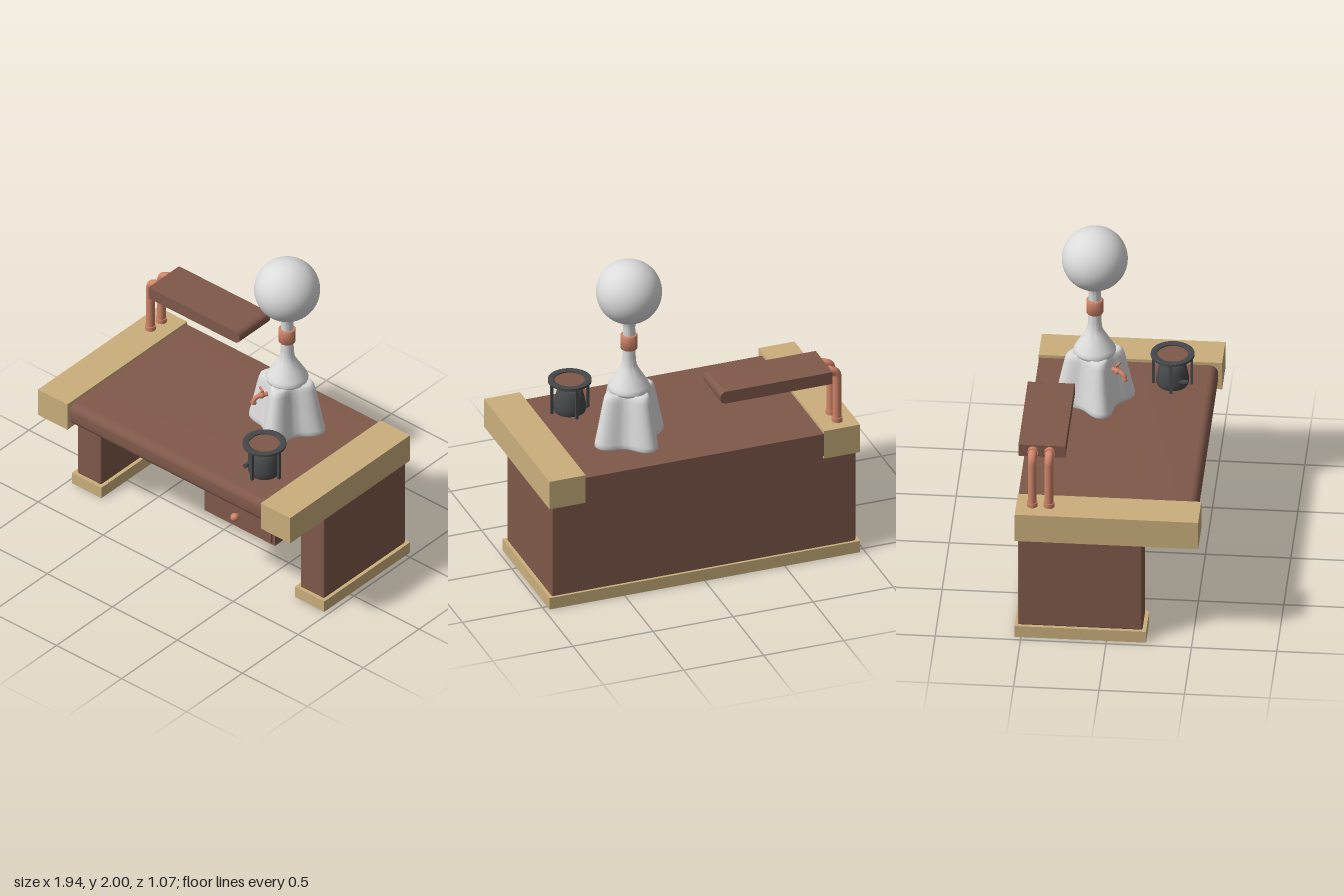
import * as THREE from 'three';
import { mergeVertices, toCreasedNormals } from 'three/addons/utils/BufferGeometryUtils.js';
import { RoundedBoxGeometry } from 'three/addons/geometries/RoundedBoxGeometry.js';

const material = (name, color) => {
  const m = new THREE.MeshStandardMaterial({ color });
  m.name = name;
  return m;
};

export function createModel() {
  const wood = material('brown wood', 0x80594b);
  const trim = material('tan trim', 0xcbaf7c);
  const copper = material('copper', 0xd08468);
  const glass = material('pale glass', 0xdcdcdc);
  const iron = material('dark iron', 0x454748);

  const model = new THREE.Group();
  model.name = 'laboratoryDesk';

  const add = (name, geo, mat, x = 0, y = 0, z = 0, parent = model) => {
    const mesh = new THREE.Mesh(geo, mat);
    mesh.name = name;
    mesh.position.set(x, y, z);
    parent.add(mesh);
    return mesh;
  };
  const group = (name, x, y, z) => {
    const g = new THREE.Group();
    g.name = name;
    g.position.set(x, y, z);
    model.add(g);
    return g;
  };
  // Box given by its minimum and maximum corners, with optional soft edges
  const box = (name, mat, [x0, y0, z0], [x1, y1, z1], r = 0) => {
    const s = [x1 - x0, y1 - y0, z1 - z0];
    const geo = r ? new RoundedBoxGeometry(...s, 3, r) : new THREE.BoxGeometry(...s);
    return add(name, geo, mat, (x0 + x1) / 2, (y0 + y1) / 2, (z0 + z1) / 2);
  };
  const lathe = (pts, seg = 40) =>
    toCreasedNormals(new THREE.LatheGeometry(pts.map(p => new THREE.Vector2(...p)), seg), 0.7);
  const cyl = (r, h, seg = 24) => new THREE.CylinderGeometry(r, r, h, seg);

  // Slab from x0 to x1 whose +x end is rounded, centred on y and z
  const slab = (x0, x1, height, width, r) => {
    const h = height / 2;
    const s = new THREE.Shape();
    s.moveTo(x0, -h);
    s.lineTo(x1 - r, -h);
    s.absarc(x1 - r, -h + r, r, -Math.PI / 2, 0, false);
    s.absarc(x1 - r, h - r, r, 0, Math.PI / 2, false);
    s.lineTo(x0, h);
    const geo = new THREE.ExtrudeGeometry(s, { depth: width, bevelEnabled: false, curveSegments: 8 });
    geo.translate(0, 0, -width / 2);
    return toCreasedNormals(geo, 0.5);
  };

  // Desk body: two sides and a thick back, on a U-shaped plinth
  for (const [side, s] of [['left', 1], ['right', -1]]) {
    const span = (a, b) => (s > 0 ? [a, b] : [-b, -a]);
    const [p0, p1] = span(0.765, 0.95);
    box(side + 'SidePanel', wood, [p0, 0.07, -0.52], [p1, 0.67, 0.21], 0.012);
    const [c0, c1] = span(0.744, 0.97);
    box(side + 'TopCap', trim, [c0, 0.667, -0.537], [c1, 0.85, 0.537]);
    box(side + 'Plinth', trim, [c0, 0, -0.537], [c1, 0.075, 0.232]);
  }
  box('backPlinth', trim, [-0.744, 0, -0.537], [0.744, 0.075, -0.31]);
  box('backPanel', wood, [-0.94, 0.07, -0.52], [0.94, 0.69, -0.335]);

  // Desk top with a rounded front edge
  const top = slab(-0.535, 0.513, 0.147, 1.49, 0.05);
  top.rotateY(-Math.PI / 2);
  add('deskTop', top, wood, 0, 0.7575, 0);

  // Drawer with raised front and round knob
  box('drawerBox', wood, [0.2, 0.467, -0.335], [0.742, 0.69, 0.408]);
  box('drawerFront', wood, [0.222, 0.483, 0.4], [0.722, 0.662, 0.422]);
  const knob = group('drawerKnob', 0.47, 0.57, 0.422);
  add('knobStem', cyl(0.01, 0.03, 16), copper, 0, 0, 0.01, knob).rotation.x = Math.PI / 2;
  add('knobBall', new THREE.SphereGeometry(0.025, 24, 16), copper, 0, 0, 0.03, knob);

  // Raised shelf carried on two bent pipes
  add('shelf', slab(-0.8, -0.1, 0.078, 0.275, 0.036), wood, 0, 1.19, -0.392);
  for (const z of [-0.443, -0.345]) {
    const path = new THREE.CurvePath();
    const v = (x, y) => new THREE.Vector3(x, y, 0);
    path.add(new THREE.LineCurve3(v(-0.862, 0.85), v(-0.862, 1.14)));
    path.add(new THREE.QuadraticBezierCurve3(v(-0.862, 1.14), v(-0.862, 1.19), v(-0.815, 1.19)));
    path.add(new THREE.LineCurve3(v(-0.815, 1.19), v(-0.79, 1.19)));
    add('shelfPipe', new THREE.TubeGeometry(path, 60, 0.026, 20), copper, 0, 0, z);
    add('pipeFoot', cyl(0.032, 0.03), copper, -0.862, 0.862, z);
    add('pipeCollar', cyl(0.031, 0.025), copper, -0.812, 1.19, z).rotation.z = Math.PI / 2;
  }

  // Glass apparatus
  const still = group('glassApparatus', 0.335, 0, -0.175);
  add('globe', new THREE.SphereGeometry(0.193, 48, 32), glass, 0, 1.807, 0, still);
  add('neck', lathe([
    [0, 1.145], [0.105, 1.15], [0.122, 1.165], [0.125, 1.18], [0.115, 1.2], [0.085, 1.25],
    [0.055, 1.3], [0.043, 1.33], [0.039, 1.38], [0.036, 1.57], [0.039, 1.6], [0.05, 1.63],
  ]), glass, 0, 0, 0, still);
  add('neckCollar', lathe([
    [0, 1.432], [0.046, 1.432], [0.05, 1.437], [0.05, 1.52], [0.046, 1.525], [0, 1.525],
  ]), copper, 0, 0, 0, still);

  // Four-lobed base: a turned profile pulled inward between the lobes
  const lobeAngle = -16.4 * Math.PI / 180;
  let base = new THREE.LatheGeometry([
    [0, 0.832], [0.225, 0.832], [0.24, 0.845], [0.237, 0.87], [0.222, 0.93], [0.207, 1.0],
    [0.192, 1.07], [0.178, 1.13], [0.168, 1.158], [0.15, 1.172], [0.12, 1.168], [0.06, 1.15], [0, 1.145],
  ].map(p => new THREE.Vector2(...p)), 96);
  base.deleteAttribute('uv');
  base.deleteAttribute('normal');
  const pos = base.attributes.position;
  for (let i = 0; i < pos.count; i++) {
    const x = pos.getX(i), z = pos.getZ(i);
    const lobe = (1 + Math.cos(4 * (Math.atan2(z, x) - lobeAngle))) / 2;
    const k = 0.65 + 0.35 * Math.pow(lobe, 1.3);
    pos.setX(i, x * k);
    pos.setZ(i, z * k);
  }
  base = mergeVertices(base, 1e-5);
  base.computeVertexNormals();
  add('lobedBase', base, glass, 0, 0, 0, still);

  // Tap set in the hollow between two lobes; local +x points outward
  const tap = new THREE.Group();
  tap.name = 'tap';
  tap.position.y = 1.08;
  tap.rotation.y = -(lobeAngle + Math.PI * 0.75);
  still.add(tap);
  const spout = new THREE.CatmullRomCurve3([[0.09, 0], [0.15, 0], [0.185, -0.004], [0.205, -0.02], [0.21, -0.042]]
    .map(([x, y]) => new THREE.Vector3(x, y, 0)));
  add('tapSpout', new THREE.TubeGeometry(spout, 24, 0.014, 14), copper, 0, 0, 0, tap);
  add('tapMouth', cyl(0.017, 0.014, 16), copper, 0.21, -0.04, 0, tap);
  add('tapBody', new THREE.SphereGeometry(0.02, 16, 12), copper, 0.16, 0, 0, tap);
  add('tapStem', cyl(0.006, 0.04, 10), copper, 0.16, 0.022, 0, tap);
  add('tapHandle', new THREE.BoxGeometry(0.012, 0.01, 0.05), copper, 0.16, 0.042, 0, tap);

  // Burner: pot under a ring stand on four legs
  const burner = group('burner', 0.538, 0, 0.264);
  add('pot', lathe([
    [0, 0.832], [0.09, 0.832], [0.097, 0.85], [0.095, 0.88], [0.085, 0.93], [0.075, 0.965],
    [0.065, 0.975], [0.024, 0.976], [0.024, 1.022], [0, 1.022],
  ]), iron, 0, 0, 0, burner);
  add('ring', lathe([
    [0.09, 1.02], [0.12, 1.02], [0.128, 1.026], [0.128, 1.04], [0.112, 1.045], [0.09, 1.038], [0.09, 1.02],
  ], 48), iron, 0, 0, 0, burner);
  add('plate', cyl(0.092, 0.008, 40), wood, 0, 1.027, 0, burner);
  for (let i = 0; i < 4; i++) {
    const a = i * Math.PI / 2;
    const leg = add('ringLeg', new THREE.BoxGeometry(0.016, 0.2, 0.016), iron,
      0.112 * Math.cos(a), 0.93, 0.112 * Math.sin(a), burner);
    leg.rotation.y = -a;
  }
  add('valve', cyl(0.014, 0.05, 14), iron, -0.07, 0.885, 0.07, burner).rotation.set(Math.PI / 2, 0, 0);
  return model;
}
